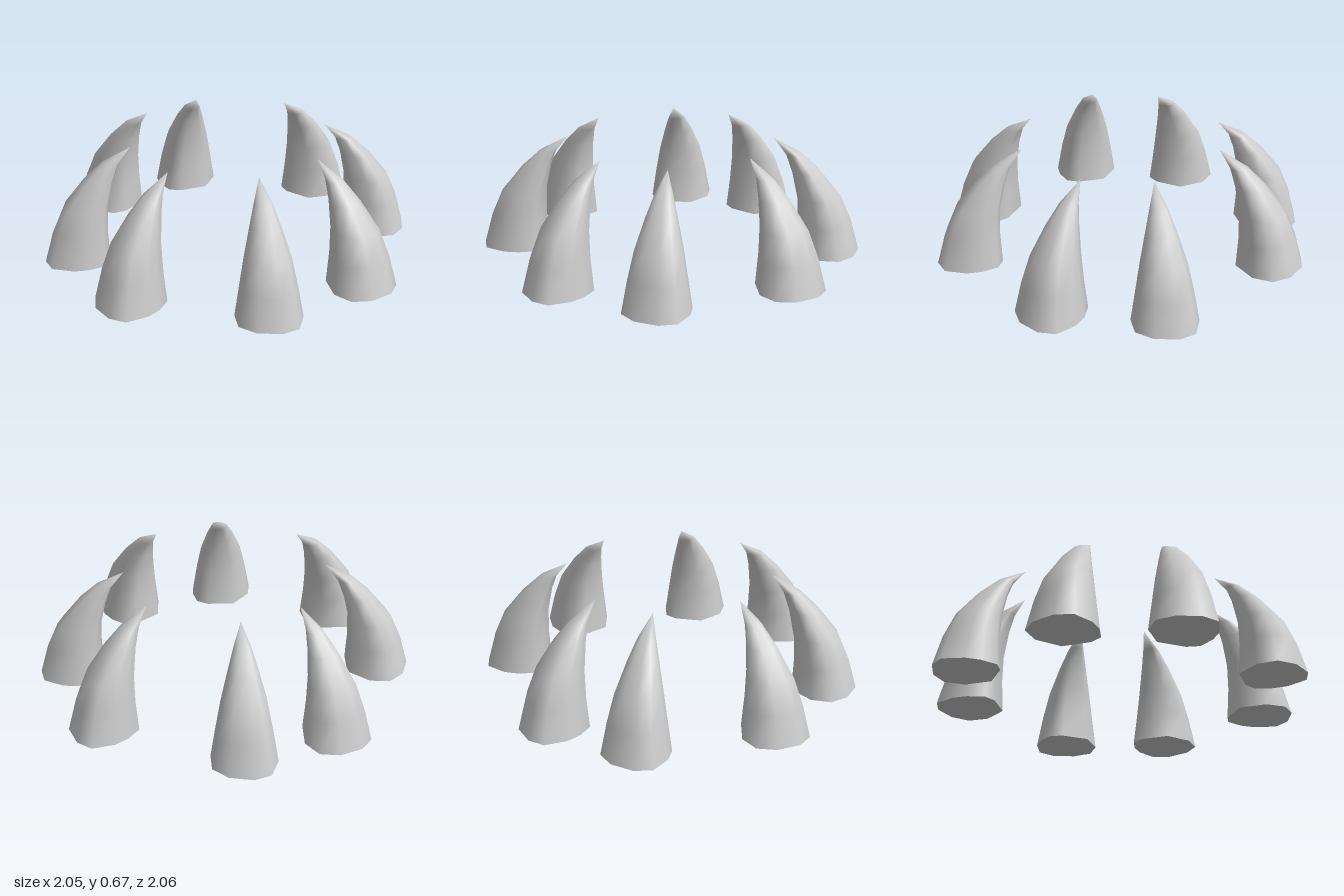
import * as THREE from 'three';

// Claw cross-section: [angle in degrees from the tip direction, relative radius]
const SECTION = [[23, 1.01], [45, 1.08], [75, 0.98], [102, 0.98], [140, 1.1],
  [169, 1.04], [210, 1], [244, 1.05], [280, 0.97], [331, 0.98]];

// Rings from base up: [height, lean toward the tip, radius]
const RINGS = [[0, 0, 0.19], [0.18, 0.02, 0.16], [0.33, 0.055, 0.13],
  [0.48, 0.13, 0.085], [0.58, 0.2, 0.049]];
const TIP = [0.67, 0.317];

// Each claw: [base x, base z, direction of the lean in degrees from +x toward +z]
const CLAWS = [
  [0.81, -0.38, 160], [0.815, 0.38, 210.5], [0.38, 0.805, 249], [-0.385, 0.82, 300],
  [-0.81, 0.375, 340], [-0.82, -0.385, 29.5], [-0.447, -0.775, 63], [0.385, -0.825, 119.5],
];

function makeGeometry(points, index) {
  const g = new THREE.BufferGeometry();
  g.setAttribute('position', new THREE.Float32BufferAttribute(points, 3));
  g.setIndex(index);
  g.computeVertexNormals();
  return g;
}

const ringPoints = ([y, lean, radius]) => SECTION.flatMap(([deg, k]) => {
  const a = THREE.MathUtils.degToRad(deg);
  return [lean + radius * k * Math.cos(a), y, radius * k * Math.sin(a)];
});

// Curved, tapering horn lofted through the rings to a point
function hornGeometry() {
  const n = SECTION.length;
  const points = [...RINGS.flatMap(ringPoints), TIP[1], TIP[0], 0];
  const tip = RINGS.length * n;
  const index = [];
  for (let r = 0; r < RINGS.length; r++) {
    for (let i = 0; i < n; i++) {
      const a = r * n + i;
      const b = r * n + (i + 1) % n;
      if (r === RINGS.length - 1) index.push(a, tip, b);
      else index.push(a, a + n, b, b, a + n, b + n);
    }
  }
  return makeGeometry(points, index);
}

// Flat underside
function baseGeometry() {
  const n = SECTION.length;
  const index = [];
  for (let i = 0; i < n; i++) index.push(n, i, (i + 1) % n);
  return makeGeometry([...ringPoints(RINGS[0]), 0, 0, 0], index);
}

export function createModel() {
  const group = new THREE.Group();
  group.name = 'clawRing';
  const material = new THREE.MeshStandardMaterial({ color: 0xcccccc });
  const horn = hornGeometry();
  const base = baseGeometry();
  CLAWS.forEach(([x, z, deg], i) => {
    const claw = new THREE.Group();
    claw.name = `claw${i + 1}`;
    const body = new THREE.Mesh(horn, material);
    body.name = 'clawBody';
    const foot = new THREE.Mesh(base, material);
    foot.name = 'clawBase';
    claw.add(body, foot);
    claw.position.set(x, 0, z);
    claw.rotation.y = -THREE.MathUtils.degToRad(deg);
    group.add(claw);
  });
  return group;
}
